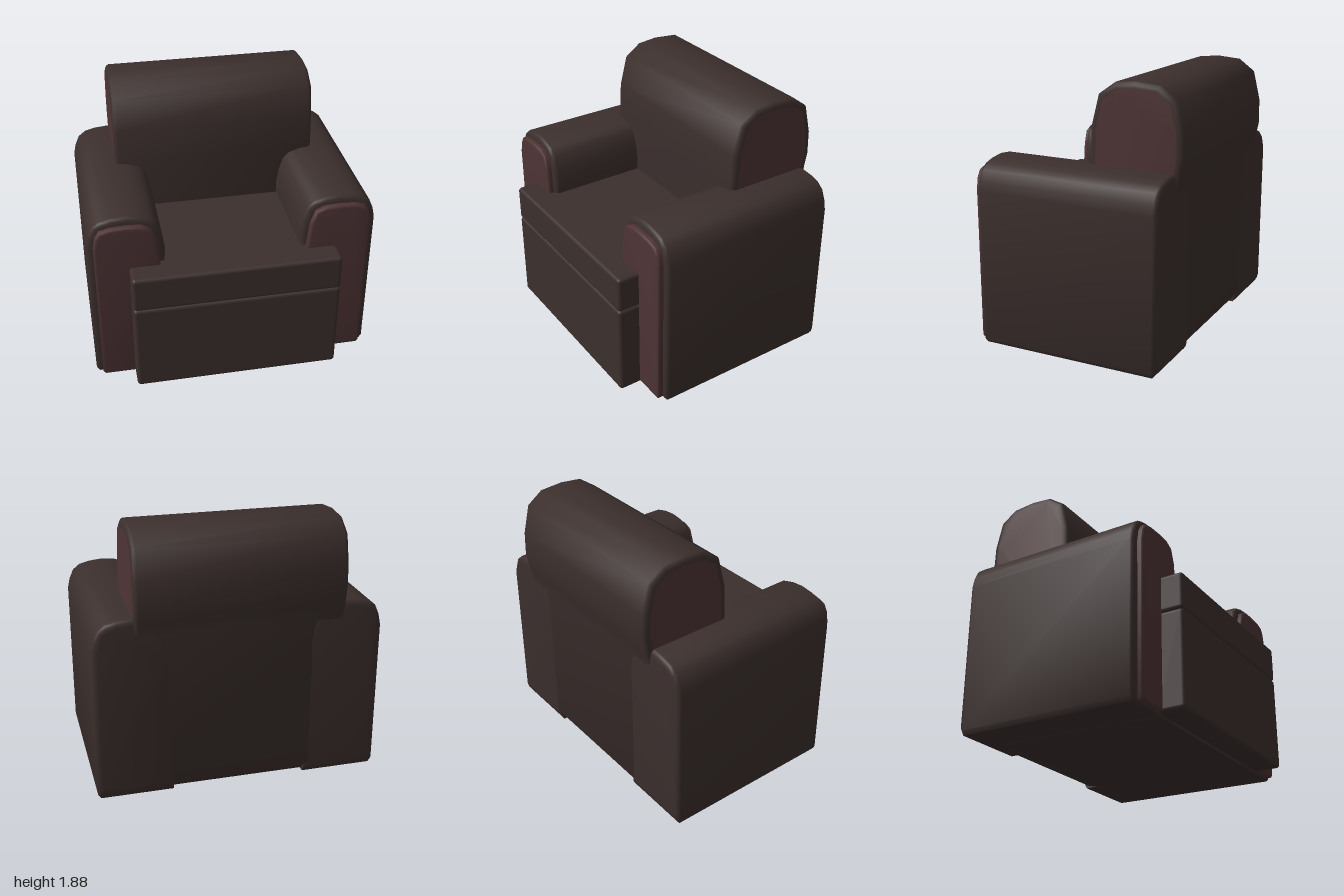
import * as THREE from 'three';
import { toCreasedNormals } from 'three/addons/utils/BufferGeometryUtils.js';
import { RoundedBoxGeometry } from 'three/addons/geometries/RoundedBoxGeometry.js';

const leather = new THREE.MeshStandardMaterial({ color: 0x3b2f2d });
const lining = new THREE.MeshStandardMaterial({ color: 0x4d3334 });

// Profile extruded along z and centred, with softened ends that stay inside the outline
function padded(points, length, bevelSize, bevelThickness) {
  const shape = new THREE.Shape(points.map(([x, y]) => new THREE.Vector2(x, y)));
  const geometry = new THREE.ExtrudeGeometry(shape, {
    depth: length - 2 * bevelThickness, bevelEnabled: true,
    bevelSize, bevelOffset: -bevelSize, bevelThickness, bevelSegments: 3,
  });
  geometry.translate(0, 0, bevelThickness - length / 2);
  return geometry;
}

function add(group, name, geometry, material, x = 0, y = 0, z = 0) {
  const mesh = new THREE.Mesh(geometry, material);
  mesh.name = name;
  mesh.position.set(x, y, z);
  group.add(mesh);
  return mesh;
}

// Arm cross-section for one side; side is +1 (left) or -1 (right)
const armProfile = [
  [0.47, 0], [0.98, 0], [1, 0.03], [1, 1.1], [0.985, 1.17], [0.955, 1.24], [0.905, 1.28],
  [0.83, 1.3], [0.73, 1.31], [0.64, 1.3], [0.56, 1.275], [0.515, 1.23], [0.485, 1.13],
  [0.47, 1.02], [0.475, 0.93],
];
const panelProfile = [
  [0.52, 0.01], [0.94, 0.01], [0.955, 0.03], [0.955, 1.1], [0.94, 1.18], [0.91, 1.23],
  [0.84, 1.25], [0.73, 1.255], [0.63, 1.25], [0.565, 1.22], [0.53, 1.12], [0.51, 0.93],
];

function addArm(group, side, name) {
  const mirror = (points) => points.map(([x, y]) => [x * side, y]);
  const arm = padded(mirror(armProfile), 1.335, 0.04, 0.03);
  // Raise the lower rear edge to round off the heel
  const p = arm.attributes.position;
  for (let i = 0; i < p.count; i++) {
    const t = (-0.63 - p.getZ(i)) / 0.04;
    if (t > 0 && p.getY(i) < 0.08) p.setY(i, p.getY(i) + 0.05 * t);
  }
  add(group, name, toCreasedNormals(arm, 0.9), leather, 0, 0, -0.0725);
  const panel = toCreasedNormals(padded(mirror(panelProfile), 0.06, 0.02, 0.015), 0.9);
  add(group, name + 'FrontPanel', panel, lining, 0, 0, 0.605);
}

export function createModel() {
  const chair = new THREE.Group();
  chair.name = 'armchair';

  addArm(chair, 1, 'leftArm');
  addArm(chair, -1, 'rightArm');

  // Backrest and base share one side outline, given as (z, y)
  const bodyProfile = [
    [0.58, 0], [0.58, 0.8], [-0.13, 0.8], [-0.115, 1.31], [-0.125, 1.56], [-0.18, 1.775],
    [-0.3, 1.86], [-0.45, 1.875], [-0.62, 1.86], [-0.735, 1.775], [-0.785, 1.57],
    [-0.79, 1.4], [-0.765, 1.27], [-0.738, 1.17], [-0.738, 0.09], [-0.69, 0.025], [-0.58, 0],
  ];
  const body = padded(bodyProfile, 1.45, 0.045, 0.03);
  body.rotateY(-Math.PI / 2);
  add(chair, 'backrestAndBase', toCreasedNormals(body, 0.9), [lining, leather]);

  // Seat cushion overhangs the arms at the front
  add(chair, 'seatCushion', new RoundedBoxGeometry(1.45, 0.26, 0.95, 3, 0.025), leather, 0, 0.802, 0.315);

  // Footrest panel below the cushion
  add(chair, 'footrestPanel', new RoundedBoxGeometry(1.45, 0.675, 0.2, 3, 0.025), leather, 0, 0.3375, 0.69);

  return chair;
}
